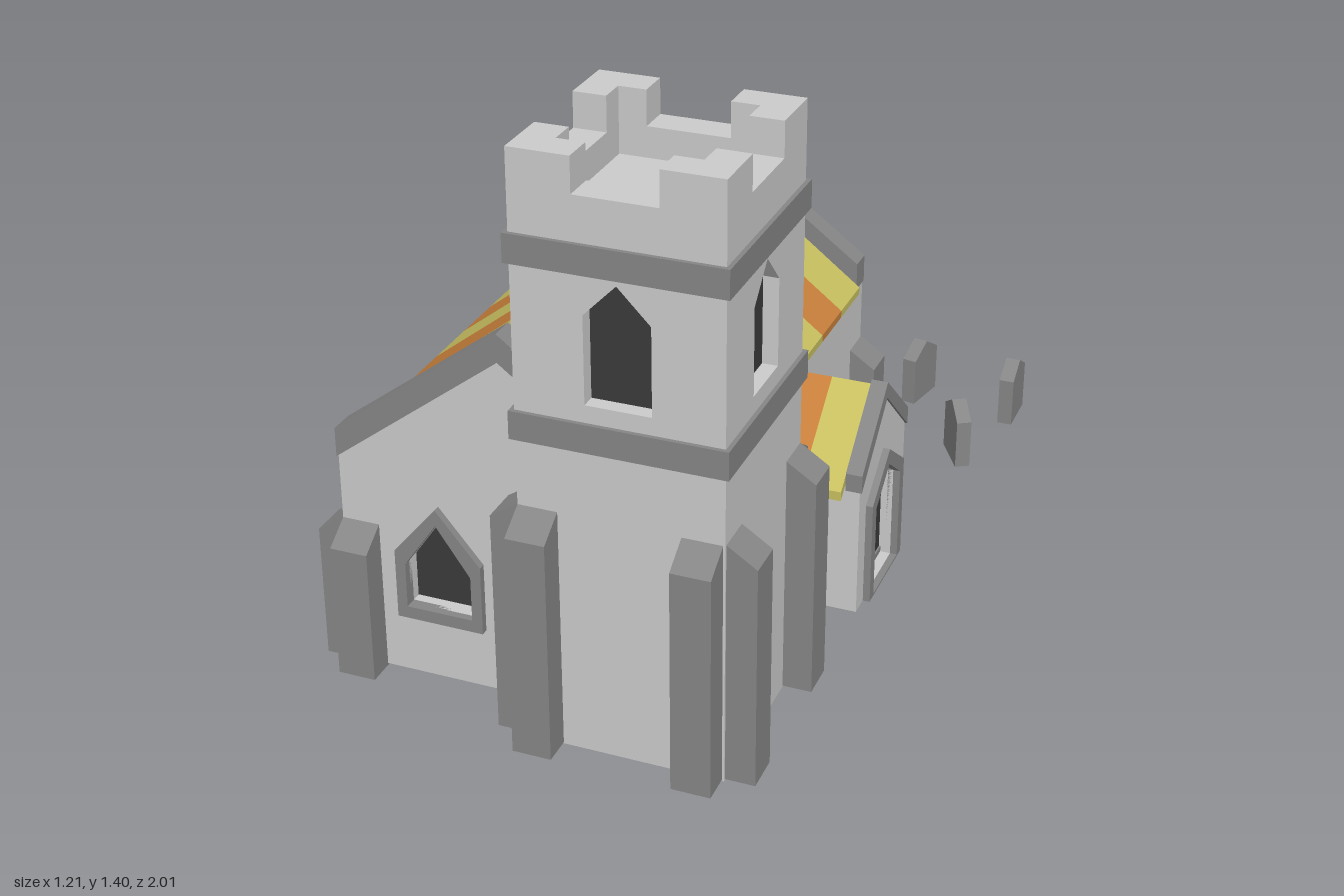
import * as THREE from 'three';

const mat = (color) => new THREE.MeshStandardMaterial({ color, flatShading: true });

export function createModel() {
  const root = new THREE.Group();
  root.name = 'church';
  const stone = mat(0xcccccc), trim = mat(0x868686), dark = mat(0x3a3a3a);
  const stripes = [mat(0xc8c060), mat(0xc8803c)];

  const path = (pts) => pts.map(([x, y]) => new THREE.Vector2(x, y));
  const add = (parent, name, geometry, material, x = 0, y = 0, z = 0, ry = 0) => {
    const mesh = new THREE.Mesh(geometry, material);
    mesh.name = name;
    mesh.position.set(x, y, z);
    mesh.rotation.y = ry;
    parent.add(mesh);
    return mesh;
  };
  const group = (name, x, z, ry) => {
    const g = new THREE.Group();
    g.name = name;
    g.position.set(x, 0, z);
    g.rotation.y = ry;
    root.add(g);
    return g;
  };
  // Plate whose outer face lies at local z = front
  const plate = (pts, holes, depth, front = 0) => {
    const shape = new THREE.Shape(path(pts));
    shape.holes = holes.map((h) => new THREE.Path(path(h)));
    return new THREE.ExtrudeGeometry(shape, { depth, bevelEnabled: false }).translate(0, 0, front - depth);
  };
  const box = (parent, name, material, x0, x1, y0, y1, z0, z1) =>
    add(parent, name, new THREE.BoxGeometry(x1 - x0, y1 - y0, z1 - z0), material,
      (x0 + x1) / 2, (y0 + y1) / 2, (z0 + z1) / 2);
  // Pointed opening: centre, half width, sill, shoulder, peak
  const arch = (cx, hw, y0, ys, yp) =>
    [[cx - hw, y0], [cx + hw, y0], [cx + hw, ys], [cx, yp], [cx - hw, ys]];
  const rect = (hw, y0, y1) => [[-hw, y0], [hw, y0], [hw, y1], [-hw, y1]];
  const gable = (hw, y0, eave, peak) => [[-hw, y0], [hw, y0], [hw, eave], [0, peak], [-hw, eave]];
  const chevron = (hw, eave, peak, lowEave, lowPeak) =>
    [[-hw, lowEave], [0, lowPeak], [hw, lowEave], [hw, eave], [0, peak], [-hw, eave]];

  // Wall with framed, recessed windows given as [outer arch, inner arch]
  const wall = (g, outline, windows) => {
    add(g, 'wall', plate(outline, windows.map((w) => w[1]), 0.05), stone);
    for (const [outer, inner] of windows) {
      add(g, 'windowFrame', plate(outer, [inner], 0.03, 0.018), trim);
      add(g, 'windowPane', plate(inner, [], 0.015, -0.035), dark);
    }
  };

  // Nave
  const cx = -0.14, base = 0.015;
  const nave = gable(0.4, base, 0.55, 0.855);
  const tallWindow = (x) => [arch(x, 0.11, 0.13, 0.345, 0.485), arch(x, 0.082, 0.162, 0.315, 0.44)];
  const ends = [
    ['naveFront', 0.795, 0, [[arch(-0.16, 0.105, 0.165, 0.335, 0.46), arch(-0.16, 0.08, 0.195, 0.305, 0.42)]]],
    ['naveBack', -0.485, Math.PI, [tallWindow(0)]],
  ];
  for (const [name, z, ry, windows] of ends) {
    const g = group(name, cx, z, ry);
    wall(g, nave, windows);
    add(g, 'gableCoping', plate(chevron(0.402, 0.61, 0.912, 0.54, 0.845), [], 0.06, 0.006), trim);
  }
  const sideWall = rect(0.59, base, 0.53);
  wall(group('naveRightSide', -0.54, 0.155, -Math.PI / 2), sideWall, [tallWindow(-0.265), tallWindow(0.235)]);
  wall(group('naveLeftSide', 0.26, 0.155, Math.PI / 2), sideWall, []);
  box(root, 'naveFloor', trim, -0.535, 0.255, base, 0.04, -0.48, 0.79);

  // Striped main roof
  const stripeLength = 1.17 / 8;
  for (let i = 0; i < 8; i++) {
    add(root, 'roofStripe', plate(chevron(0.41, 0.548, 0.867, 0.53, 0.84), [], stripeLength),
      stripes[i % 2], cx, 0, -0.43 + (i + 1) * stripeLength);
  }

  // Tower: four walls with battlements and windows
  const tx = 0.195, tz = 0.71, half = 0.23;
  for (let i = 0; i < 4; i++) {
    const ry = i * Math.PI / 2;
    const g = group('towerSide', tx + half * Math.sin(ry), tz + half * Math.cos(ry), ry);
    const w = i % 2 ? 0.155 : half;
    const n = 0.0925;
    const outline = [[-w, 0.025], [w, 0.025], [w, 1.4], [n, 1.4], [n, 1.32], [-n, 1.32], [-n, 1.4], [-w, 1.4]];
    const opening = arch(0, 0.073, 0.865, 1.065, 1.14);
    add(g, 'towerWall', plate(outline, [opening], 0.075), stone);
    add(g, 'towerWindowPane', plate(opening, [], 0.02, -0.035), dark);
  }
  box(root, 'towerRoofDeck', stone, tx - 0.16, tx + 0.16, 1.22, 1.25, tz - 0.16, tz + 0.16);
  box(root, 'towerFloor', trim, tx - 0.2, tx + 0.2, 0.025, 0.05, tz - 0.2, tz + 0.2);
  // String courses are square rings around the tower
  const ring = plate([[-0.24, -0.24], [0.24, -0.24], [0.24, 0.24], [-0.24, 0.24]],
    [rect(0.2, -0.2, 0.2)], 0.065).rotateX(-Math.PI / 2);
  for (const top of [0.825, 1.22]) add(root, 'stringCourse', ring, trim, tx, top, tz);

  // Buttresses with sloped caps: x, z on the wall face, turn, foot, height, depth
  const buttress = (x, z, turn, y0, h, d) => {
    const geo = plate([[-0.01, y0], [d, y0], [d, h - 0.045], [0, h], [-0.01, h]], [], 0.09, 0.045);
    add(root, 'buttress', geo.rotateY(-Math.PI / 2), trim, x, 0, z, turn * Math.PI / 2);
  };
  const low = [
    [-0.495, 0.795, 0], [-0.54, 0.75, -1], [-0.54, -0.445, -1],
    [-0.495, -0.485, 2], [0.26, -0.445, 1], [0.213, -0.485, 2],
  ];
  for (const [x, z, t] of low) buttress(x, z, t, 0.01, 0.382, 0.065);
  const tall = [
    [0.01, 0.94, 0], [0.375, 0.94, 0], [0.425, 0.89, 1],
    [0.425, 0.525, 1], [-0.035, 0.89, -1], [0.375, 0.48, 2],
  ];
  for (const [x, z, t] of tall) buttress(x, z, t, 0.028, 0.603, 0.068);

  // Porch, facing the model's left
  const porch = group('porch', 0.483, 0.035, Math.PI / 2);
  const doorway = arch(0, 0.095, 0.025, 0.26, 0.33);
  add(porch, 'porchFrontWall', plate(gable(0.178, 0.02, 0.36, 0.515), [doorway], 0.045), stone);
  add(porch, 'porchCoping', plate(chevron(0.182, 0.39, 0.546, 0.345, 0.505), [], 0.04, 0.006), trim);
  add(porch, 'doorFrame', plate(arch(0, 0.125, 0.02, 0.28, 0.37), [doorway], 0.03, 0.017), trim);
  add(porch, 'door', plate(arch(0, 0.095, 0, 0.26, 0.33), [], 0.024, -0.029), dark);
  for (const s of [-1, 1]) {
    add(porch, 'porchSideWall', new THREE.BoxGeometry(0.04, 0.34, 0.19), stone, s * 0.158, 0.19, -0.135);
  }
  add(porch, 'porchFloor', new THREE.BoxGeometry(0.35, 0.02, 0.21), trim, 0, 0.03, -0.13);
  const porchRoof = chevron(0.215, 0.358, 0.535, 0.335, 0.508);
  add(porch, 'porchRoofStripe', plate(porchRoof, [], 0.097), stripes[0], 0, 0, -0.034);
  add(porch, 'porchRoofStripe', plate(porchRoof, [], 0.09), stripes[1], 0, 0, -0.131);

  // Gravestones: x, z and direction of the broad side
  const graves = [
    [0.022, -0.938, 0.045, 0.105], [-0.1, -0.722, -0.015, 0.12], [0.2, -0.71, -0.008, 0.12],
    [0.317, -0.867, -0.025, 0.12], [0.582, -0.845, 0, 1], [0.508, -0.57, 0.06, 0.105],
  ];
  const slab = plate(arch(0, 0.062, 0.04, 0.168, 0.206), [], 0.038, 0.019);
  for (const [x, z, dx, dz] of graves) add(root, 'gravestone', slab, trim, x, 0, z, Math.atan2(-dz, dx));

  return root;
}
